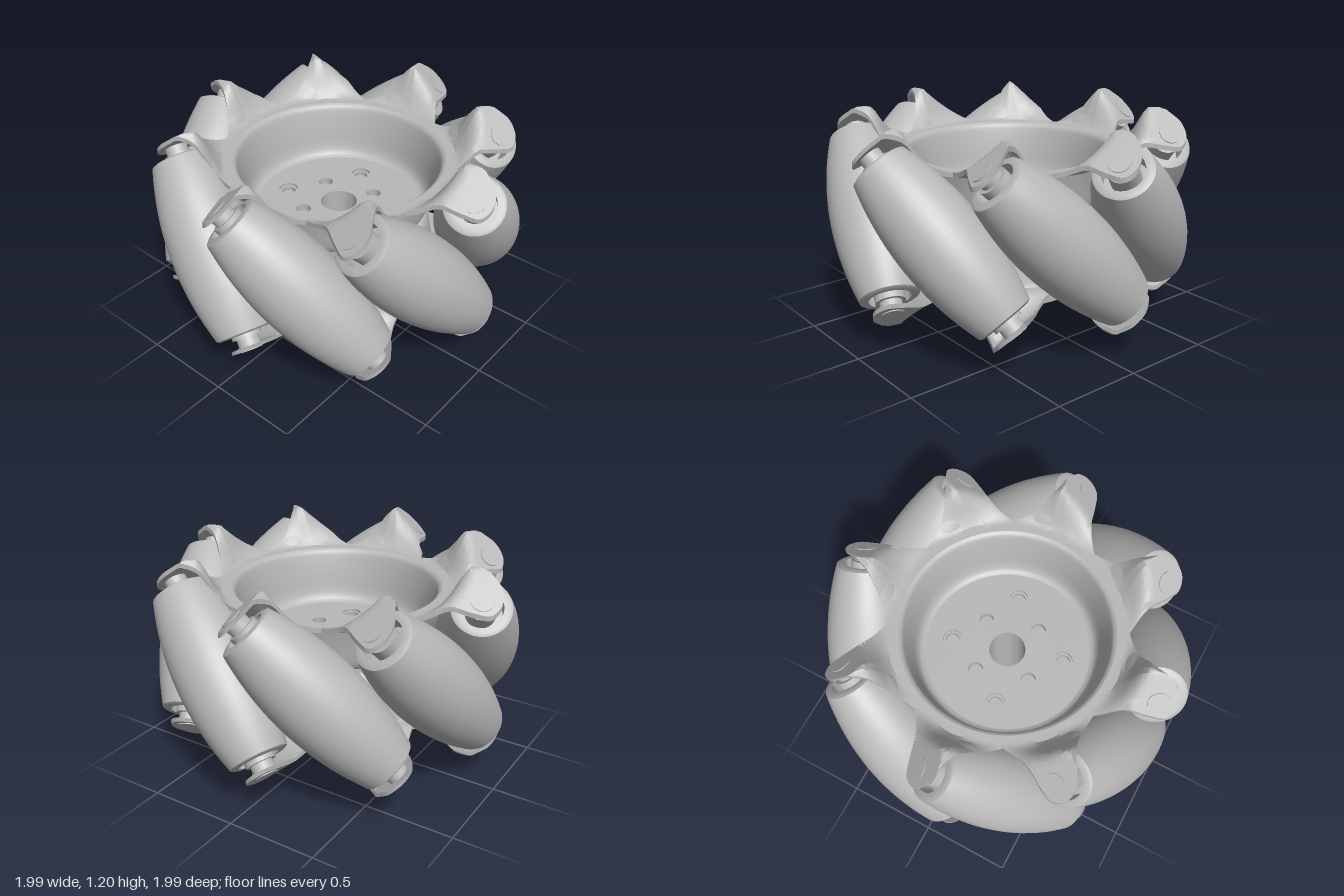
import * as THREE from 'three';
import { toCreasedNormals } from 'three/addons/utils/BufferGeometryUtils.js';

const COUNT = 8, STEP = Math.PI * 2 / COUNT;
const MID = 0.67;                                // height of the wheel's middle plane
const ROLLER_ANGLE = THREE.MathUtils.degToRad(26);
const ROLLER_R = 0.77;                           // wheel axis to roller axis
const V = (x, y) => new THREE.Vector2(x, y);
const grey = new THREE.MeshStandardMaterial({ color: 0xb8b8b8, side: THREE.DoubleSide });
grey.name = 'metalGrey';

function add(parent, name, geometry) {
  const mesh = new THREE.Mesh(geometry, grey);
  mesh.name = name;
  parent.add(mesh);
  return mesh;
}

function lathe(points, segments = 64) {
  return toCreasedNormals(new THREE.LatheGeometry(points, segments), 0.6);
}

// Horizontal disc from y0 to y1 with round holes given as [x, z, radius]
function disc(radius, holes, y0, y1) {
  const shape = new THREE.Shape().absarc(0, 0, radius, 0, Math.PI * 2);
  for (const [x, z, r] of holes) {
    shape.holes.push(new THREE.Path().absarc(x, -z, r, 0, Math.PI * 2, true));
  }
  const g = new THREE.ExtrudeGeometry(shape, { depth: y1 - y0, bevelEnabled: false, curveSegments: 32 });
  g.rotateX(-Math.PI / 2).translate(0, y0, 0);
  return toCreasedNormals(g, 0.6);
}

// Four holes evenly spaced on a circle
function holeRing(radius, angle, size) {
  return [0, 1, 2, 3].map(i => {
    const a = angle + i * Math.PI / 2;
    return [radius * Math.cos(a), radius * Math.sin(a), size];
  });
}

// Height of the bent sheet: a tilted flat tab with a fold falling away beside it
function sheetHeight(x, z) {
  const tab = 0.085 + (x + 0.025) * 0.9 - (z - 0.88) * 0.44;
  const fold = 0.21 - (x - 0.08) * 1.05;
  const blend = THREE.MathUtils.smoothstep(Math.hypot(x, z), 0.62, 0.77);
  return 0.32 + blend * Math.max(0, Math.min(tab, fold, 0.21));
}

// One eighth of the bent sheet, with its tab pointing to +z
function tabSector() {
  const outline = new THREE.CatmullRomCurve3([
    [-0.208, 0.605], [-0.13, 0.72], [-0.09, 0.86], [-0.06, 0.935], [0, 0.962],
    [0.055, 0.935], [0.08, 0.87], [0.11, 0.77], [0.17, 0.675], [0.28, 0.575],
  ].map(([x, z]) => new THREE.Vector3(x, 0, z)));
  const cols = 48, rows = 14, thick = 0.025;
  const a0 = Math.atan2(-0.208, 0.605), a1 = Math.atan2(0.28, 0.575);
  const pos = [], index = [];
  for (const drop of [0, thick]) {
    for (let i = 0; i <= cols; i++) {
      const p = outline.getPoint(i / cols), a = a0 + (a1 - a0) * i / cols;
      for (let j = 0; j <= rows; j++) {
        const x = THREE.MathUtils.lerp(0.575 * Math.sin(a), p.x, j / rows);
        const z = THREE.MathUtils.lerp(0.575 * Math.cos(a), p.z, j / rows);
        pos.push(x, sheetHeight(x, z) - drop, z);
      }
    }
  }
  const id = (layer, i, j) => (layer * (cols + 1) + i) * (rows + 1) + j;
  const quad = (a, b, c, d) => index.push(a, b, c, a, c, d);
  for (let i = 0; i < cols; i++) {
    for (let j = 0; j < rows; j++) {
      quad(id(0, i, j), id(0, i, j + 1), id(0, i + 1, j + 1), id(0, i + 1, j));
      quad(id(1, i, j), id(1, i + 1, j), id(1, i + 1, j + 1), id(1, i, j + 1));
    }
    quad(id(0, i, rows), id(1, i, rows), id(1, i + 1, rows), id(0, i + 1, rows));
  }
  const g = new THREE.BufferGeometry();
  g.setAttribute('position', new THREE.Float32BufferAttribute(pos, 3));
  g.setIndex(index);
  return toCreasedNormals(g, 0.6);
}

// Dished side plate with eight tabs
function sidePlate(name, sector) {
  const plate = new THREE.Group();
  plate.name = name;
  for (let i = 0; i < COUNT; i++) add(plate, 'tab', sector).rotation.y = i * STEP;
  const wall = new THREE.SplineCurve([
    V(0.46, 0.01), V(0.485, 0.025), V(0.505, 0.07), V(0.525, 0.18), V(0.545, 0.27), V(0.558, 0.305), V(0.58, 0.32),
  ]).getPoints(24);
  add(plate, 'dishWall', lathe(wall));
  return plate;
}

// Barrel roller along y, hollowed at both ends
function rollerGeometry() {
  const half = 0.49, pts = [V(0.06, -0.40), V(0.112, -0.40), V(0.112, -half), V(0.14, -half)];
  for (let i = 0; i <= 24; i++) {
    const s = (i / 12 - 1) * (half - 0.008);
    pts.push(V(0.23 - 0.315 * s * s, s));
  }
  pts.push(V(0.14, half), V(0.112, half), V(0.112, 0.40), V(0.06, 0.40));
  return lathe(pts, 48);
}

export function createModel() {
  const model = new THREE.Group();
  model.name = 'rollerWheel';
  const wheel = new THREE.Group();
  wheel.name = 'wheel';
  wheel.position.y = MID;
  model.add(wheel);

  // Two matching plates, back to back
  const sector = tabSector();
  wheel.add(sidePlate('upperPlate', sector));
  const lower = sidePlate('lowerPlate', sector);
  const radial = new THREE.Vector3(Math.sin(ROLLER_ANGLE), 0, Math.cos(ROLLER_ANGLE));
  lower.quaternion.setFromAxisAngle(radial, Math.PI);
  wheel.add(lower);

  // Rollers tilted at 45 degrees, each on its axle
  const roller = rollerGeometry();
  const axle = new THREE.CylinderGeometry(0.06, 0.06, 1.16, 24);
  const spacer = new THREE.CylinderGeometry(0.08, 0.08, 1.02, 24);
  const tilt = new THREE.Vector3(-1, 1, 0).normalize();
  for (let i = 0; i < COUNT; i++) {
    const arm = new THREE.Group();
    arm.name = 'rollerUnit';
    arm.rotation.y = ROLLER_ANGLE + i * STEP;
    const unit = new THREE.Group();
    unit.position.z = ROLLER_R;
    unit.quaternion.setFromUnitVectors(new THREE.Vector3(0, 1, 0), tilt);
    add(unit, 'roller', roller);
    add(unit, 'axle', axle);
    add(unit, 'spacer', spacer);
    arm.add(unit);
    wheel.add(arm);
  }

  // Dish floor with bolt holes, and the hub below it
  const bore = [0, 0, 0.1];
  const small = holeRing(0.21, 0.5, 0.04);
  const boltAngle = -0.28;
  add(model, 'floorTop', disc(0.465, [bore, ...small, ...holeRing(0.315, boltAngle, 0.052)], 0.665, 0.68));
  add(model, 'floorCore', disc(0.465, [bore, ...small, ...holeRing(0.315, boltAngle, 0.038)], 0.64, 0.665));
  add(model, 'floorBottom', disc(0.465, [bore], 0.61, 0.64));
  add(model, 'hub', disc(0.42, [bore, ...holeRing(0.315, boltAngle, 0.036)], 0.2, 0.61));

  // Shaft collar with its set screw
  add(model, 'shaft', disc(0.147, [bore], 0, 0.2));
  const screw = add(model, 'setScrew', new THREE.TorusGeometry(0.02, 0.004, 8, 24));
  const a = Math.atan2(0.13, 0.075);
  screw.position.set(0.147 * Math.sin(a), 0.08, 0.147 * Math.cos(a));
  screw.rotation.y = a;
  return model;
}
